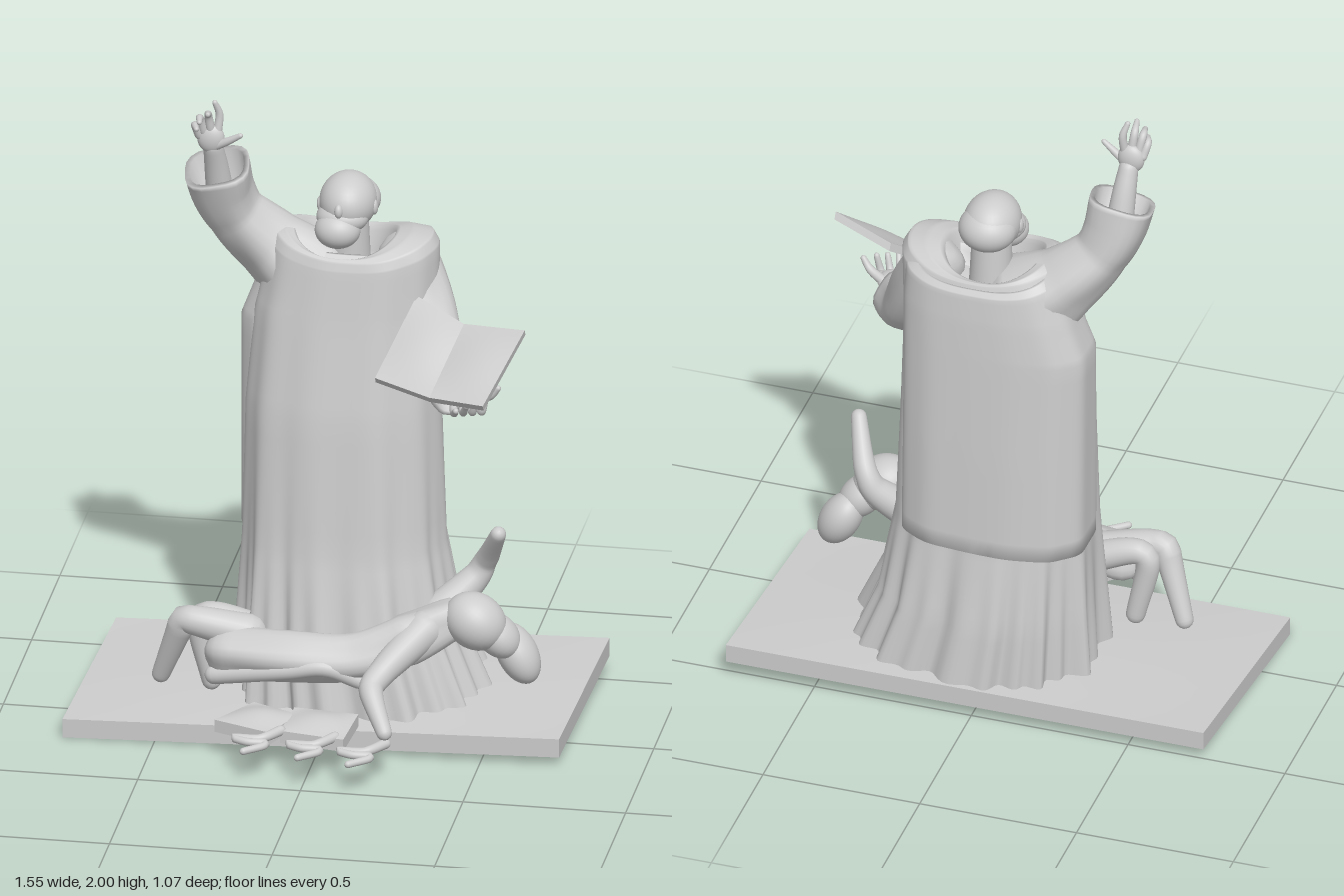
import * as THREE from 'three';

const stone = new THREE.MeshStandardMaterial({ color: 0xcccccc, side: THREE.DoubleSide });
stone.name = 'pale stone';

const V = (a) => new THREE.Vector3(...a);

function add(parent, name, geometry) {
  const mesh = new THREE.Mesh(geometry, stone);
  mesh.name = name;
  parent.add(mesh);
  return mesh;
}

// Joins closed cross-sections (arrays of Vector3) into a smooth skin
function skin(rings) {
  const n = rings[0].length, pos = [], idx = [];
  rings.forEach((r) => r.forEach((p) => pos.push(p.x, p.y, p.z)));
  for (let i = 0; i < rings.length - 1; i++) {
    for (let j = 0; j < n; j++) {
      const a = i * n + j, b = i * n + (j + 1) % n;
      idx.push(a, a + n, b, b, a + n, b + n);
    }
  }
  const g = new THREE.BufferGeometry();
  g.setAttribute('position', new THREE.Float32BufferAttribute(pos, 3));
  g.setIndex(idx);
  g.computeVertexNormals();
  return g;
}

// Limb of varying radius along a curve; an open limb ends in a hollow cuff
function limb(points, radii, open = false, fold = 0) {
  const curve = new THREE.CatmullRomCurve3(points.map(V), false, 'centripetal');
  const steps = points.length * 6, sides = 24, rings = [];
  const frames = curve.computeFrenetFrames(steps, false);
  const ring = (c, i, r) => {
    const nrm = frames.normals[i], bin = nrm.clone().cross(frames.tangents[i]);
    rings.push(Array.from({ length: sides }, (_, j) => {
      const a = j / sides * Math.PI * 2, rr = r * (1 + fold * Math.sin(a * 4 + i * 0.15));
      return c.clone().addScaledVector(nrm, rr * Math.cos(a)).addScaledVector(bin, rr * Math.sin(a));
    }));
  };
  const cap = (c, i, r, sign) => {
    for (let k = 0; k <= 4; k++) {
      const a = (sign < 0 ? 4 - k : k) / 4 * Math.PI / 2;
      const at = c.clone().addScaledVector(frames.tangents[i], sign * r * Math.sin(a));
      ring(at, i, Math.max(r * Math.cos(a), 1e-4));
    }
  };
  for (let i = 0; i <= steps; i++) {
    const f = curve.getUtoTmapping(i / steps) * (radii.length - 1);
    const k = Math.min(Math.floor(f), radii.length - 2);
    const r = THREE.MathUtils.lerp(radii[k], radii[k + 1], f - k), c = curve.getPointAt(i / steps);
    if (i === 0) cap(c, i, r, -1);
    else if (i < steps) ring(c, i, r);
    else if (!open) cap(c, i, r, 1);
    else [[0, 1], [0, 0.84], [-0.1, 0.7], [-0.12, 0.01]].forEach(([d, s]) =>
      ring(c.clone().addScaledVector(frames.tangents[i], d), i, r * s));
  }
  return skin(rings);
}

// Upright garment; each key is [y, left x, right x, back z, front z, fold depth]
function garment(keys, power, lift) {
  const rings = [], sides = 180;
  const build = (k) => Array.from({ length: sides }, (_, j) => {
    const a = j / sides * Math.PI * 2, c = Math.cos(a), s = Math.sin(a);
    const sq = (v) => Math.sign(v) * Math.abs(v) ** (2 / power);
    const pleats = THREE.MathUtils.smoothstep(k[5], 0.012, 0.035);
    const f = 1 + k[5] * (Math.sin(a * 11 + 1) + pleats * Math.sin(a * 24 + Math.sin(a * 3)) + 0.6 * Math.sin(a * 6));
    const up = lift * c * c * THREE.MathUtils.smoothstep(k[0], 1.35, 1.5);
    return new THREE.Vector3(
      (k[1] + k[2]) / 2 + (k[2] - k[1]) / 2 * sq(c) * f, k[0] + up,
      (k[3] + k[4]) / 2 + (k[4] - k[3]) / 2 * sq(s) * f);
  });
  for (let i = 0; i < keys.length - 1; i++) {
    for (let t = 0; t < 6; t++) {
      rings.push(build(keys[i].map((v, m) => THREE.MathUtils.lerp(v, keys[i + 1][m], t / 6))));
    }
  }
  rings.push(build(keys[keys.length - 1]));
  return skin(rings);
}

// Slab from four top corners (back left, back right, front right, front left)
function slab(corners, down, bulge) {
  const [A, B, C, D] = corners.map(V), d = V(down);
  const g = new THREE.BoxGeometry(1, 1, 1, 10, 1, 10), p = g.attributes.position;
  for (let i = 0; i < p.count; i++) {
    const u = p.getX(i) + 0.5, w = p.getZ(i) + 0.5, h = 0.5 - p.getY(i);
    const q = A.clone().lerp(B, u).lerp(D.clone().lerp(C, u), w).addScaledVector(d, h);
    q.y += bulge * (1 - h) * Math.sin(Math.PI * u) * Math.sin(Math.PI * w);
    p.setXYZ(i, q.x, q.y, q.z);
  }
  g.computeVertexNormals();
  return g;
}

function blob(parent, name, at, size, rz = 0, rx = 0) {
  const m = add(parent, name, new THREE.SphereGeometry(1, 32, 20));
  m.position.set(...at);
  m.scale.set(...size);
  m.rotation.set(rx, 0, rz);
}

export function createModel() {
  const model = new THREE.Group();
  model.name = 'statue';
  const group = (name) => {
    const g = new THREE.Group();
    g.name = name;
    model.add(g);
    return g;
  };

  // Tilted base
  add(model, 'base', slab([[-0.74, 0.095, -0.5], [0.77, 0.122, -0.54], [0.74, 0.09, 0.18], [-0.78, 0.062, 0.22]], [0, -0.06, 0], 0.018));

  // Robe with a hollow neckline, and the cape hanging down the back
  const standing = group('standingFigure');
  add(standing, 'robe', garment([
    [0.08, -0.31, 0.46, -0.5, 0.13, 0.036],
    [0.3, -0.3, 0.37, -0.48, 0.1, 0.03],
    [0.58, -0.29, 0.325, -0.44, 0.05, 0.02],
    [1.0, -0.285, 0.31, -0.42, 0.01, 0.013],
    [1.3, -0.26, 0.3, -0.4, -0.04, 0.01],
    [1.47, -0.22, 0.3, -0.4, -0.065, 0.005],
    [1.5, -0.2, 0.28, -0.39, -0.075, 0.002],
    [1.508, -0.17, 0.22, -0.385, -0.085, 0],
    [1.5, -0.14, 0.17, -0.365, -0.1, 0],
    [1.42, -0.1, 0.13, -0.33, -0.13, 0],
    [1.4, 0.01, 0.02, -0.24, -0.23, 0]], 2.35, 0.05));
  add(standing, 'cape', garment([
    [0.575, -0.02, -0.01, -0.3, -0.29, 0],
    [0.57, -0.31, 0.28, -0.465, -0.1, 0.008],
    [0.9, -0.31, 0.28, -0.45, -0.1, 0.008],
    [1.25, -0.31, 0.28, -0.43, -0.12, 0.006],
    [1.38, -0.26, 0.28, -0.42, -0.13, 0.004],
    [1.47, -0.21, 0.27, -0.41, -0.15, 0.002],
    [1.49, -0.18, 0.24, -0.395, -0.17, 0],
    [1.36, 0, 0.05, -0.3, -0.22, 0]], 2.8, 0.04));

  // Bearded head
  add(standing, 'neck', limb([[0.02, 1.4, -0.25], [0.02, 1.6, -0.24]], [0.07, 0.06]));
  blob(standing, 'head', [0.02, 1.64, -0.235], [0.088, 0.09, 0.108]);
  blob(standing, 'hair', [0.024, 1.635, -0.268], [0.09, 0.072, 0.085]);
  blob(standing, 'cheeks', [0.01, 1.605, -0.19], [0.08, 0.05, 0.07]);
  blob(standing, 'beard', [0, 1.573, -0.16], [0.07, 0.058, 0.064]);
  blob(standing, 'nose', [0.008, 1.645, -0.13], [0.013, 0.022, 0.016]);
  for (const s of [-1, 1]) blob(standing, 'ear', [0.02 + s * 0.084, 1.63, -0.22], [0.01, 0.024, 0.016]);

  // Raised right arm with spread fingers
  add(standing, 'raisedSleeve', limb(
    [[-0.1, 1.38, -0.25], [-0.22, 1.48, -0.24], [-0.32, 1.585, -0.21], [-0.355, 1.66, -0.19], [-0.372, 1.75, -0.165]],
    [0.15, 0.108, 0.086, 0.095, 0.106], true, 0.06));
  add(standing, 'raisedForearm', limb([[-0.36, 1.62, -0.18], [-0.37, 1.77, -0.14], [-0.375, 1.84, -0.115]], [0.045, 0.036, 0.03]));
  blob(standing, 'raisedPalm', [-0.38, 1.87, -0.105], [0.042, 0.048, 0.026]);
  [
    [[-0.36, 1.85, -0.1], [-0.325, 1.87, -0.09], [-0.285, 1.895, -0.08]],
    [[-0.36, 1.89, -0.105], [-0.355, 1.95, -0.11], [-0.367, 1.99, -0.1]],
    [[-0.38, 1.9, -0.1], [-0.385, 1.955, -0.085], [-0.38, 1.97, -0.05]],
    [[-0.4, 1.89, -0.1], [-0.41, 1.945, -0.08], [-0.405, 1.945, -0.045]],
    [[-0.415, 1.88, -0.1], [-0.425, 1.92, -0.08], [-0.415, 1.92, -0.05]],
  ].forEach((p) => add(standing, 'raisedFinger', limb(p, [0.014, 0.012, 0.008])));

  // Left arm carrying the open book
  add(standing, 'loweredSleeve', limb(
    [[0.2, 1.455, -0.25], [0.26, 1.34, -0.205], [0.31, 1.22, -0.14], [0.345, 1.16, -0.08], [0.39, 1.13, 0]],
    [0.09, 0.085, 0.084, 0.08, 0.082], true, 0.06));
  add(standing, 'loweredForearm', limb([[0.36, 1.15, -0.08], [0.42, 1.13, 0.03]], [0.04, 0.032]));
  blob(standing, 'loweredPalm', [0.44, 1.135, 0.07], [0.045, 0.025, 0.05]);
  for (let i = 0; i < 4; i++) {
    const x = 0.4 + i * 0.027;
    add(standing, 'loweredFinger', limb(
      [[x, 1.13, 0.09], [x + 0.01, 1.125, 0.14 - i * 0.008], [x + 0.025, 1.155 + i * 0.008, 0.195 - i * 0.025]],
      [0.013, 0.012, 0.009]));
  }
  add(standing, 'loweredThumb', limb([[0.46, 1.14, 0.05], [0.51, 1.16, 0.07], [0.535, 1.19, 0.08]], [0.016, 0.013, 0.009]));
  const book = group('openBook');
  const spineTop = [0.41, 1.345, -0.035], spineLow = [0.34, 1.185, 0.175], thick = [0, -0.02, -0.014];
  add(book, 'bookLeaf', slab([[0.25, 1.39, -0.12], spineTop, spineLow, [0.16, 1.205, 0.1]], thick, 0.012));
  add(book, 'bookLeaf', slab([spineTop, [0.61, 1.37, 0.04], [0.515, 1.195, 0.235], spineLow], thick, 0.012));

  // Fallen figure draped across the front of the base
  const fallen = group('fallenFigure');
  add(fallen, 'torso', limb(
    [[-0.29, 0.265, 0.09], [-0.1, 0.275, 0.115], [0.1, 0.285, 0.11], [0.26, 0.34, 0.07], [0.38, 0.4, 0.04]],
    [0.075, 0.075, 0.075, 0.085, 0.065], false, 0.08));
  add(fallen, 'drape', limb([[-0.33, 0.2, 0.12], [-0.1, 0.25, 0.17], [0.02, 0.27, 0.175], [0.12, 0.225, 0.15]], [0.03, 0.028, 0.028, 0.025]));
  add(fallen, 'leg', limb(
    [[-0.24, 0.31, 0.04], [-0.4, 0.35, 0.065], [-0.435, 0.35, 0.06], [-0.445, 0.325, 0.055], [-0.515, 0.14, 0]],
    [0.06, 0.045, 0.042, 0.042, 0.028]));
  add(fallen, 'leg', limb(
    [[-0.2, 0.3, 0], [-0.35, 0.35, 0.01], [-0.385, 0.345, 0.01], [-0.395, 0.315, 0.01], [-0.36, 0.13, 0]],
    [0.05, 0.04, 0.038, 0.038, 0.03]));
  add(fallen, 'reachingArm', limb(
    [[0.31, 0.38, 0.08], [0.2, 0.28, 0.2], [0.175, 0.25, 0.25], [0.18, 0.235, 0.275], [0.235, 0.155, 0.37]],
    [0.06, 0.042, 0.038, 0.036, 0.024]));
  add(fallen, 'raisedArm', limb(
    [[0.33, 0.38, -0.05], [0.44, 0.49, -0.11], [0.46, 0.53, -0.11], [0.475, 0.56, -0.095], [0.52, 0.67, -0.01]],
    [0.06, 0.042, 0.036, 0.034, 0.024]));
  blob(fallen, 'head', [0.46, 0.405, 0.05], [0.1, 0.085, 0.088], -0.6);
  blob(fallen, 'face', [0.525, 0.355, 0.03], [0.08, 0.06, 0.07], -0.8);
  blob(fallen, 'beard', [0.58, 0.285, -0.005], [0.062, 0.1, 0.072], 0.5, -0.2);

  // Scattered books and the bent quills beside them
  const litter = group('scatteredBooks');
  const low = [0, -0.04, 0];
  add(litter, 'scatteredBook', slab([[-0.2, 0.14, 0.17], [-0.05, 0.14, 0.24], [-0.12, 0.125, 0.36], [-0.3, 0.125, 0.29]], low, 0.02));
  add(litter, 'scatteredBook', slab([[-0.07, 0.145, 0.2], [0.13, 0.145, 0.22], [0.11, 0.125, 0.375], [-0.09, 0.125, 0.34]], low, 0.02));
  for (const [x, z] of [[0, 0], [0.17, 0.02], [0.33, 0.045]]) {
    const path = [[-0.09, 0.33], [-0.13, 0.385], [-0.15, 0.395], [-0.225, 0.395], [-0.18, 0.415], [-0.125, 0.412], [-0.122, 0.42], [-0.18, 0.475]];
    add(litter, 'quill', limb(path.map((p, i) => [p[0] + x, 0.122 - i * 0.002, p[1] + z]), [0.016, 0.013, 0.012, 0.013, 0.011]));
  }
  return model;
}
